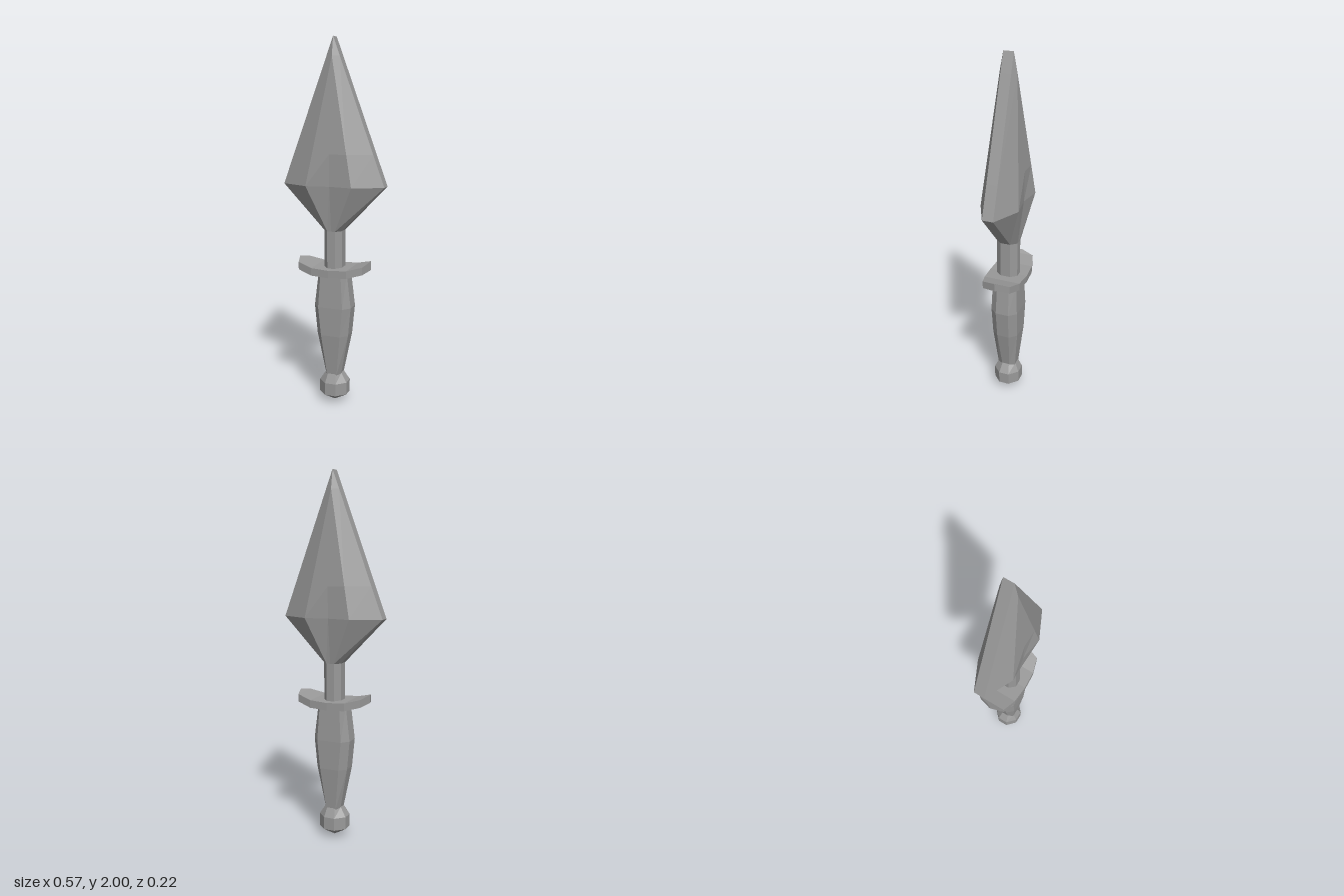
import * as THREE from 'three';

const material = new THREE.MeshStandardMaterial({ color: 0x999999, flatShading: true });

// Skins a list of rings (each an array of [x, y, z]) and caps both ends.
function loft(name, rings) {
  const positions = [];
  const tri = (...corners) => {
    const [a, b, c] = corners.map((p) => new THREE.Vector3(...p));
    const area = b.clone().sub(a).cross(c.clone().sub(a)).length();
    if (area > 1e-8) corners.forEach((p) => positions.push(...p));
  };
  const n = rings[0].length;
  for (let i = 0; i < rings.length - 1; i++) {
    for (let j = 0; j < n; j++) {
      const k = (j + 1) % n;
      const [low, high] = [rings[i], rings[i + 1]];
      tri(low[j], low[k], high[k]);
      tri(low[j], high[k], high[j]);
    }
  }
  const first = rings[0], last = rings[rings.length - 1];
  for (let j = 1; j < n - 1; j++) {
    tri(first[0], first[j + 1], first[j]);
    tri(last[0], last[j], last[j + 1]);
  }
  const geometry = new THREE.BufferGeometry();
  geometry.setAttribute('position', new THREE.Float32BufferAttribute(positions, 3));
  geometry.computeVertexNormals();
  const mesh = new THREE.Mesh(geometry, material);
  mesh.name = name;
  return mesh;
}

// Chamfered cross-section: half width w, edge half thickness e,
// ridge at half width m and half depth d, centre half depth c.
function section([y, w, e, m, d, c = d]) {
  return [
    [w, y, -e], [m, y, -d], [0, y, -c], [-m, y, -d], [-w, y, -e],
    [-w, y, e], [-m, y, d], [0, y, c], [m, y, d], [w, y, e],
  ];
}

export function createModel() {
  const group = new THREE.Group();
  group.name = 'dagger';

  // Leaf-shaped blade, slightly hollow between its ridges, on a slim stem
  group.add(loft('blade', [
    [0.76, 0.05, 0.028, 0.022, 0.06],
    [0.985, 0.05, 0.028, 0.022, 0.06],
    [1.23, 0.285, 0.03, 0.128, 0.105, 0.086],
    [1.4, 0.222, 0.0295, 0.0955, 0.09],
    [1.9, 0.037, 0.028, 0, 0.046],
    [2.0, 0, 0.027, 0, 0.027],
  ].map(section)));

  // Crossguard with upswept, pointed ends: x, half depth, bottom, top
  const half = [
    [0.1, 0.102, 0.743, 0.785],
    [0.183, 0.078, 0.765, 0.807],
    [0.208, 0, 0.778, 0.822],
  ];
  const stations = [
    ...half.map(([x, ...rest]) => [-x, ...rest]).reverse(),
    [0, 0.108, 0.739, 0.78],
    ...half,
  ];
  group.add(loft('crossguard', stations.map(([x, z, bottom, top]) => [
    [x, top, -z], [x, top, z], [x, bottom, z], [x, bottom, -z],
  ])));

  // Swelling grip
  group.add(loft('grip', [
    [0.165, 0.045, 0.022, 0.028, 0.052],
    [0.4, 0.09, 0.035, 0.055, 0.074],
    [0.56, 0.105, 0.037, 0.07, 0.077],
    [0.75, 0.082, 0.035, 0.058, 0.07],
  ].map(section)));

  // Faceted pommel coming to a point
  group.add(loft('pommel', [
    [0, 0, 0, 0, 0],
    [0.05, 0.079, 0.029, 0.031, 0.075],
    [0.12, 0.079, 0.029, 0.031, 0.075],
    [0.172, 0.046, 0.02, 0.022, 0.052],
  ].map(section)));

  return group;
}
